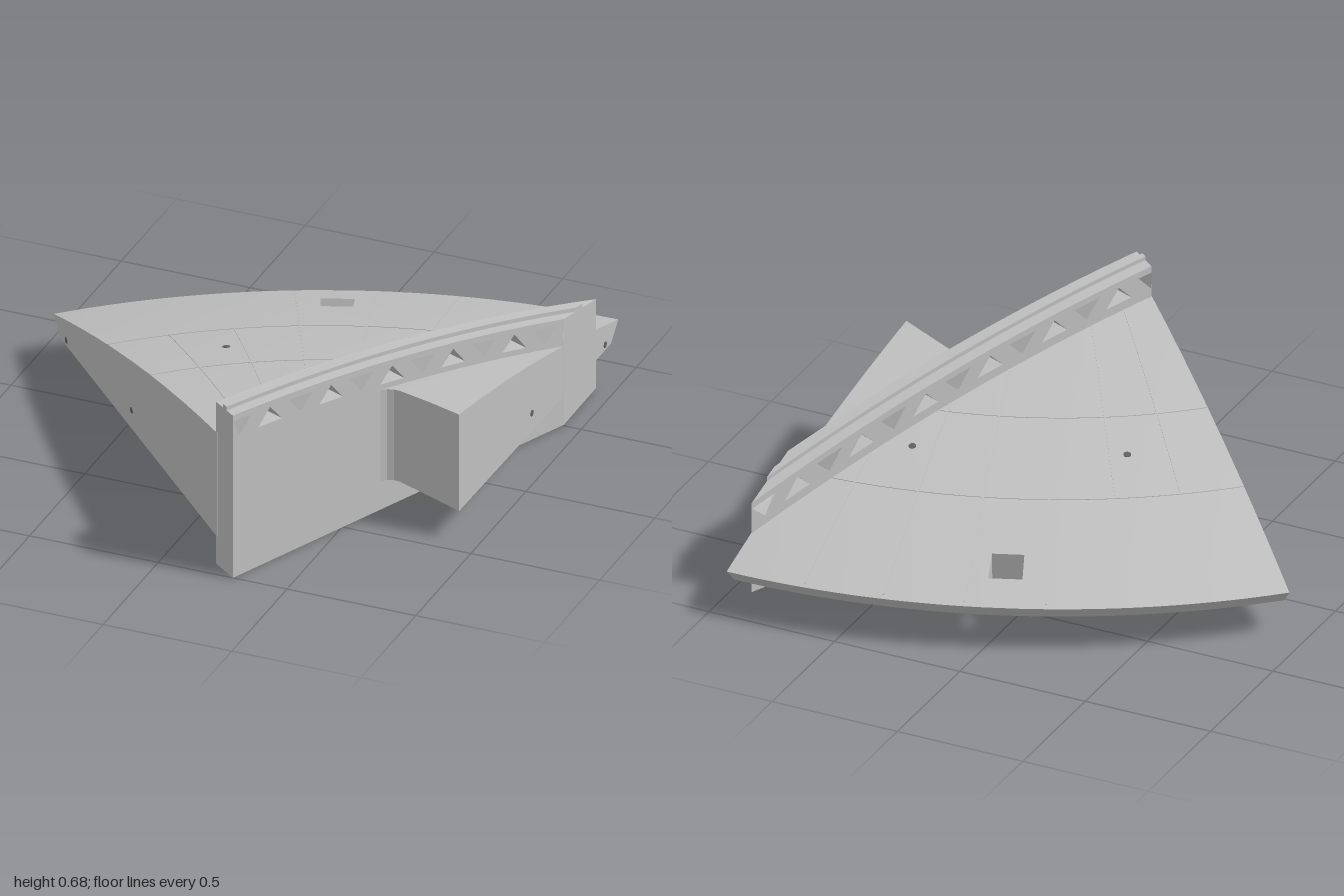
import * as THREE from 'three';
import { toCreasedNormals } from 'three/addons/utils/BufferGeometryUtils.js';

const CX = 0.93, CZ = 1.69, R = 2.69;      // centre and radius of the dome sector
const BASE = 0.115, ARC = THREE.MathUtils.degToRad(44);
const THICK = 0.117;                        // spine wall thickness
const lerp = THREE.MathUtils.lerp, clamp = THREE.MathUtils.clamp;

// Height of the domed roof
const domeY = (x, z) => 0.6025 - 0.0584 * ((x - CX) ** 2 + (z - CZ) ** 2);
const polar = (a, r) => [CX - Math.sin(a) * r, CZ - Math.cos(a) * r];
// Distance from the centre to the inner face of the spine wall
const wallRadius = (a) => 0.977 / (0.921 * Math.sin(a) + 0.391 * Math.cos(a));

// Spine coordinates: u along the wall, v across it
const spineXZ = (u, v) => [0.29 + 0.391 * u + 0.921 * v, 1 - 0.921 * u + 0.391 * v];
const spineY = (u) => domeY(...spineXZ(u, -THICK / 2));
const uStart = (v) => (-v / THICK) * 0.03;
const uEnd = (v) => 1.637 - (v / THICK) * 0.271;

// Closed slab from a grid of cells with a top and a bottom; skipped cells become holes
function slab(ni, nj, point, skip = () => false) {
  const pos = [];
  const tri = (a, b, c) => {
    const n = b.clone().sub(a).cross(c.clone().sub(a));
    if (n.length() > 1e-8) pos.push(...a, ...b, ...c);
  };
  const quad = (a, b, c, d) => { tri(a, b, c); tri(a, c, d); };
  const P = (i, j, top) => new THREE.Vector3(...point(i, j, top));
  const solid = (i, j) => i >= 0 && j >= 0 && i < ni && j < nj && !skip(i, j);
  for (let i = 0; i < ni; i++) for (let j = 0; j < nj; j++) {
    if (!solid(i, j)) continue;
    const c = [[i, j], [i, j + 1], [i + 1, j + 1], [i + 1, j]];
    const t = c.map(([p, q]) => P(p, q, true)), b = c.map(([p, q]) => P(p, q, false));
    quad(t[0], t[1], t[2], t[3]);
    quad(b[3], b[2], b[1], b[0]);
    const next = [[i - 1, j], [i, j + 1], [i + 1, j], [i, j - 1]];
    next.forEach(([p, q], k) => {
      const m = (k + 1) % 4;
      if (!solid(p, q)) quad(t[m], t[k], b[k], b[m]);
    });
  }
  const g = new THREE.BufferGeometry();
  g.setAttribute('position', new THREE.Float32BufferAttribute(pos, 3));
  return toCreasedNormals(g, 0.4);
}

export function createModel() {
  const model = new THREE.Group();
  const grey = new THREE.MeshStandardMaterial({ color: 0xbfbfbf });
  grey.name = 'light grey';
  const dark = new THREE.MeshStandardMaterial({ color: 0x606060 });
  dark.name = 'dark grey';
  const add = (name, geometry, material = grey, parent = model) => {
    const m = new THREE.Mesh(geometry, material);
    m.name = name;
    parent.add(m);
    return m;
  };
  const group = (name) => {
    const g = new THREE.Group();
    g.name = name;
    model.add(g);
    return g;
  };

  // Domed sector with a square hatch cut through it
  const hatch = [0.358, 0.406];
  const angles = [];
  for (let i = 0; i <= 14; i++) angles.push(lerp(0, hatch[0], i / 14));
  for (let i = 0; i <= 14; i++) angles.push(lerp(hatch[1], ARC, i / 14));
  add('domeSector', slab(angles.length - 1, 10, (i, j, top) => {
    const a = angles[i], r0 = wallRadius(a) * 0.99;
    let r = j <= 8 ? lerp(r0, Math.max(r0, 2.43), j / 8) : j === 9 ? 2.55 : R;
    const x0 = polar(a, r);
    if (!top) r -= j === 10 ? 0.065 : j >= 8 ? 0.025 : 0;
    const [x, z] = polar(a, r);
    return [x, top ? domeY(...x0) : BASE, z];
  }, (i, j) => i === 14 && j === 8));

  // Side annex on the outer face of the wall, with a rounded inner corner
  const front = [[0.92, 0.42], [0.78, 0.36], [0.64, 0.303], [0.615, 0.3], [0.592, 0.308], [0.565, 0.34]];
  add('sideAnnex', slab(front.length - 1, 16, (i, j, top) => {
    const x = lerp(front[i][0], 0.929, j / 16), z = lerp(front[i][1], -0.5, j / 16);
    return [x, top ? domeY(x, z) : BASE, z];
  }));

  // Spine wall, top chord and ridge, all following the roof curve
  const spineBar = (name, v0, v1, low, high) => add(name, slab(1, 28, (i, j, top) => {
    const v = i ? v1 : v0, u = lerp(uStart(v), uEnd(v), j / 28);
    const [x, z] = spineXZ(u, v);
    const y = top ? spineY(u) + high : low === null ? 0 : spineY(u) + low;
    return [x, y, z];
  }));
  spineBar('spineWall', 0, -THICK, null, 0.028);
  spineBar('trussTopChord', 0, -THICK, 0.091, 0.116);
  spineBar('ridgeRail', -0.044, -0.068, 0.114, 0.131);

  // Diagonal truss struts leaving alternating triangular openings
  const truss = group('trussStruts');
  const centre = (k) => 0.033 + 0.151 * k;
  for (let k = -1; k <= 12; k++) {
    const a = centre(k), b = centre(k + 1);
    const wide = [a + 0.06, b], narrow = [a, b - 0.06];
    const even = k % 2 === 0;
    const topSpan = even ? wide : narrow, lowSpan = even ? narrow : wide;
    add('trussStrut', slab(1, 1, (i, j, top) => {
      const v = i ? -THICK : 0;
      const u = clamp((top ? topSpan : lowSpan)[j], uStart(v), uEnd(v));
      const [x, z] = spineXZ(u, v);
      return [x, spineY(u) + (top ? 0.092 : 0.027), z];
    }), grey, truss);
  }

  // Fine panel seams on the roof, and radial battens underneath
  const roofSeams = group('roofSeams'), battens = group('undersideBattens');
  const radial = (parent, name, a, r0, r1, lift) => add(name, slab(1, 12, (i, j, top) => {
    const r = lerp(r0, r1, j / 12), da = ((i ? 1 : -1) * 0.003) / r;
    const [x, z] = polar(a + da, r);
    const y = lift ? domeY(x, z) + (top ? 0.002 : -0.002) : BASE + (top ? 0.002 : -0.003);
    return [x, y, z];
  }), grey, parent);
  for (let i = 1; i <= 6; i++) {
    const a = i * 0.11;
    radial(roofSeams, 'radialSeam', a, wallRadius(a), i > 4 ? 2.15 : 2.67, true);
  }
  for (let i = 1; i <= 9; i++) {
    const a = i * 0.075;
    radial(battens, 'batten', a, wallRadius(a) + 0.03, 2.48, false);
  }
  for (const r of [1.72, 2.15]) {
    let a0 = 0;
    while (wallRadius(a0) > r) a0 += 0.005;
    add('arcSeam', slab(24, 1, (i, j, top) => {
      const [x, z] = polar(lerp(a0, ARC, i / 24), r + (j ? 0.003 : -0.003));
      return [x, domeY(x, z) + (top ? 0.002 : -0.002), z];
    }), grey, roofSeams);
  }

  // Small round fixing holes
  const holes = group('fixingHoles');
  const disc = (x, y, z, normal, radius = 0.012) => {
    const m = add('fixingHole', new THREE.CylinderGeometry(radius, radius, 0.004, 16), dark, holes);
    m.position.set(x, y, z);
    m.quaternion.setFromUnitVectors(new THREE.Vector3(0, 1, 0), normal.normalize());
  };
  for (const [x, z] of [[-0.13, 0.08], [0.585, -0.205]]) {
    const s = 2 * 0.0584;
    disc(x, domeY(x, z), z, new THREE.Vector3(s * (x - CX), 1, s * (z - CZ)), 0.014);
  }
  for (const [x, y] of [[-0.85, 0.138], [-0.395, 0.19]]) {
    const [, z] = polar(ARC, (CX - x) / Math.sin(ARC));
    disc(x, y, z, new THREE.Vector3(-Math.cos(ARC), 0, Math.sin(ARC)));
  }
  disc(0.926, 0.19, -0.225, new THREE.Vector3(1, 0, 0));
  disc(0.93, 0.138, -0.88, new THREE.Vector3(1, 0, 0));

  return model;
}
